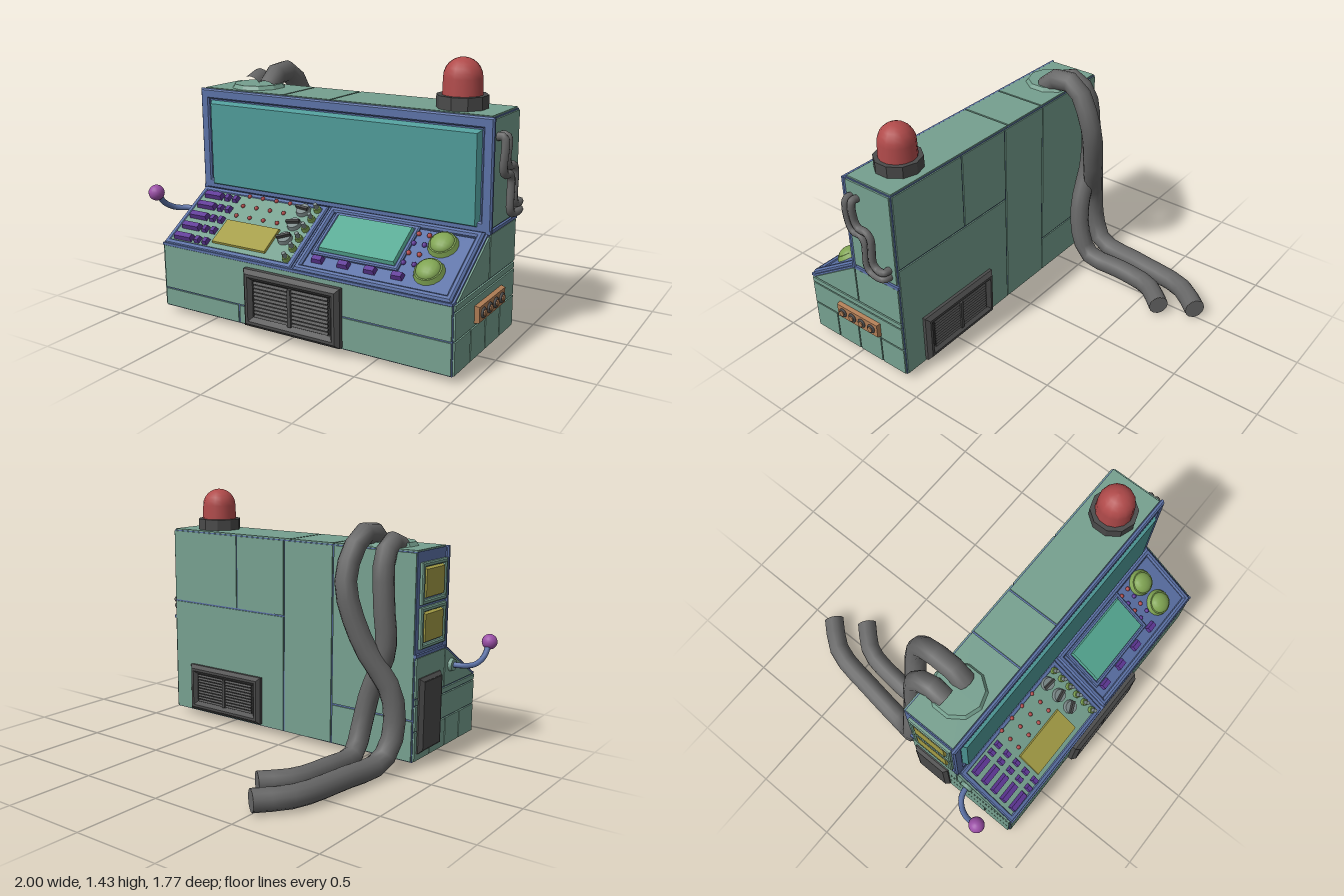
import * as THREE from 'three';

const C = { body: 0x76a08f, trim: 0x5b71a6, screen: 0x4f9a98, dark: 0x4a4a4a, black: 0x333333, hose: 0x666666,
  red: 0xb04a4a, purple: 0x9a4fa6, violet: 0x5e3796, yellow: 0xa39c45, orange: 0xb07d55, green: 0x7fa352, glow: 0x55a892, steel: 0x7d8a8a };
const mats = {};
const mat = (c, flat = false) => (mats[c + (flat ? 'f' : '')] ??= new THREE.MeshStandardMaterial({ color: C[c], flatShading: flat }));
const V = (x, y, z) => new THREE.Vector3(x, y, z);

function add(parent, name, geo, color, pos = [0, 0, 0], flat = false) {
  const m = new THREE.Mesh(geo, mat(color, flat));
  m.name = name;
  m.position.set(...pos);
  parent.add(m);
  return m;
}

// box given by its limits on each axis
function block(parent, name, color, [x0, x1], [y0, y1], [z0, z1]) {
  return add(parent, name, new THREE.BoxGeometry(x1 - x0, y1 - y0, z1 - z0), color, [(x0 + x1) / 2, (y0 + y1) / 2, (z0 + z1) / 2]);
}

// box whose front face is inset, giving chamfered sides
function taperBox(w, h, d, inset) {
  const g = new THREE.BoxGeometry(w, h, d), p = g.attributes.position;
  for (let i = 0; i < p.count; i++) {
    if (p.getZ(i) > 0) p.setXY(i, p.getX(i) - Math.sign(p.getX(i)) * inset, p.getY(i) - Math.sign(p.getY(i)) * inset);
  }
  g.computeVertexNormals();
  return g;
}

function rectPath(Type, w, h) {
  return new Type([[-w, -h], [w, -h], [w, h], [-w, h]].map(([x, y]) => new THREE.Vector2(x / 2, y / 2)));
}

// rectangular rim with chamfered edges, standing on z = 0
function rim(w, h, border, bevel, height) {
  const s = rectPath(THREE.Shape, w - 2 * bevel, h - 2 * bevel);
  s.holes.push(rectPath(THREE.Path, w - 2 * border + 2 * bevel, h - 2 * border + 2 * bevel));
  const g = new THREE.ExtrudeGeometry(s, { depth: height - bevel, bevelEnabled: true, bevelSize: bevel, bevelThickness: bevel, bevelSegments: 1 });
  return g;
}

// outline in (z, y) stretched from x0 to x1
function sideShape(parent, name, color, pts, x0, x1) {
  const s = new THREE.Shape(pts.map(p => new THREE.Vector2(...p)));
  const m = add(parent, name, new THREE.ExtrudeGeometry(s, { depth: x1 - x0, bevelEnabled: false }), color, [x1, 0, 0]);
  m.rotation.y = -Math.PI / 2;
  return m;
}

function tube(parent, name, color, pts, r, segs, sides) {
  const curve = new THREE.CatmullRomCurve3(pts.map(p => V(...p)));
  add(parent, name, new THREE.TubeGeometry(curve, segs, r, sides), color);
  const end = curve.getPointAt(1);
  const cap = add(parent, name + 'Cap', new THREE.CircleGeometry(r, sides), color, end.toArray());
  cap.lookAt(end.clone().add(curve.getTangentAt(1)));
}

// slatted vent facing +z
function vent(parent, name, w, h, border, depth, rows, pos, ry) {
  const g = new THREE.Group();
  g.name = name;
  g.position.set(...pos);
  g.rotation.y = ry;
  parent.add(g);
  add(g, 'ventFrame', rim(w, h, border, 0.02, depth), 'dark');
  const iw = w - 2 * border, ih = h - 2 * border;
  add(g, 'ventBack', new THREE.BoxGeometry(iw, ih, 0.01), 'black', [0, 0, 0.008]);
  add(g, 'ventDivider', new THREE.BoxGeometry(0.02, ih, depth), 'dark', [0, 0, depth / 2 - 0.004]);
  for (let i = 0; i < rows; i++) for (const s of [-1, 1]) {
    const slat = add(g, 'ventSlat', new THREE.BoxGeometry(iw / 2 - 0.02, ih / rows * 0.75, 0.006), 'dark', [s * iw / 4, (i + 0.5) * ih / rows - ih / 2, depth * 0.6]);
    slat.rotation.x = -0.5;
  }
}

function buildBody(g) {
  sideShape(g, 'core', 'trim', [[0.135, 0.03], [0.835, 0.03], [0.835, 0.385], [0.47, 0.615], [0.455, 0.615], [0.455, 1.175], [0.135, 1.175]], -0.805, 0.925);
  // front panels and lip
  const F = [0.82, 0.841];
  for (const [x, y] of [[[-0.8, -0.305], [0.035, 0.13]], [[-0.295, 0.04], [0.035, 0.13]], [[-0.8, 0.04], [0.137, 0.375]],
    [[0.04, 0.92], [0.205, 0.375]], [[0.04, 0.92], [0.035, 0.197]]]) block(g, 'frontPanel', 'body', x, y, F);
  block(g, 'frontLip', 'trim', [-0.805, 0.925], [0.378, 0.392], [0.8, 0.846]);
  // back panels
  for (const [x, y] of [[[0.42, 0.92], [0.735, 1.17]], [[0.065, 0.41], [0.735, 1.17]], [[0.065, 0.92], [0.035, 0.725]],
    [[-0.275, 0.055], [0.035, 1.17]], [[-0.8, -0.285], [0.035, 0.26]], [[-0.8, -0.285], [0.27, 1.17]]]) block(g, 'backPanel', 'body', x, y, [0.128, 0.15]);
  // top panels
  for (const x of [[-0.8, -0.28], [-0.27, 0.015], [0.025, 0.92]]) block(g, 'topPanel', 'body', x, [1.16, 1.183], [0.14, 0.445]);
  // side panels, the same on both sides below the screen
  for (const X of [[0.915, 0.934], [-0.815, -0.795]]) {
    [0.14, 0.315, 0.49, 0.66].forEach((z, i, a) => block(g, 'sideLowPanel', 'body', X, [0.035, 0.197], [z, (a[i + 1] ?? 0.838) - 0.008]));
    block(g, 'sideMidPanel', 'body', X, [0.205, 0.342], [0.14, 0.83]);
    block(g, 'sideStrip', 'body', X, [0.35, 0.378], [0.14, 0.83]);
    block(g, 'sideUpperPanel', 'body', X, [0.388, 0.608], [0.14, 0.452]);
    sideShape(g, 'sideWedge', 'body', [[0.46, 0.388], [0.81, 0.388], [0.475, 0.6], [0.46, 0.6]], ...X);
    block(g, 'sideTrim', 'trim', [X[0] - 0.003, X[1] + 0.003], [0.612, 0.63], [0.13, 0.47]);
  }
  block(g, 'screenSidePanel', 'body', [0.915, 0.934], [0.64, 1.168], [0.142, 0.448]);
  // screen with raised frame
  add(g, 'screenFrame', rim(1.76, 0.565, 0.055, 0.008, 0.02), 'trim', [0.06, 0.897, 0.45]);
  add(g, 'screen', taperBox(1.645, 0.495, 0.04, 0.022), 'screen', [0.06, 0.875, 0.463], true);
}

function buildConsole(root) {
  // slanted desk: x across, y up the slope, z out of it
  const g = new THREE.Group();
  g.name = 'console';
  g.position.set(0, 0.385, 0.835);
  g.rotation.x = -1.008;
  root.add(g);
  const knob = (name, color, x, y, r, h, sides = 10) => {
    const m = add(g, name, new THREE.CylinderGeometry(r * 0.85, r, h, sides), color, [x, y, h / 2]);
    m.rotation.x = Math.PI / 2;
    return m;
  };
  add(g, 'leftRim', rim(0.83, 0.43, 0.03, 0.006, 0.012), 'trim', [-0.388, 0.215, 0]);
  block(g, 'leftDesk', 'body', [-0.775, 0], [0.03, 0.405], [-0.01, 0.008]);
  add(g, 'rightRim', rim(0.87, 0.43, 0.035, 0.01, 0.022), 'trim', [0.48, 0.215, 0]);
  block(g, 'rightDesk', 'trim', [0.08, 0.88], [0.04, 0.39], [-0.01, 0.005]);
  // key bars and small keys
  for (let i = 0; i < 5; i++) {
    const y = 0.055 + i * 0.078;
    add(g, 'keyBar', taperBox(0.12, 0.042, 0.03, 0.006), 'violet', [-0.695, y, 0.02]);
    for (const x of [-0.6, -0.545]) add(g, 'smallKey', taperBox(0.035, 0.042, 0.026, 0.006), 'violet', [x, y, 0.018]);
  }
  // indicator lamps
  for (let i = 0; i < 4; i++) for (let j = 0; j < 3; j++)
    add(g, 'lamp', new THREE.SphereGeometry(0.012, 8, 6), 'red', [-0.475 + i * 0.09, 0.26 + j * 0.072, 0.012]);
  add(g, 'yellowDisplay', taperBox(0.35, 0.165, 0.016, 0.004), 'yellow', [-0.335, 0.14, 0.012]);
  // slotted dials
  [0.17, 0.27, 0.37].forEach((y, i) => {
    knob('dial', 'steel', -0.1, y, 0.042, 0.03, 14);
    const bar = add(g, 'dialGrip', new THREE.BoxGeometry(0.075, 0.014, 0.02), 'dark', [-0.1, y, 0.038]);
    bar.rotation.z = 0.5 - i * 0.3;
  });
  // toggle switches
  for (let i = 0; i < 6; i++) {
    knob('toggleBase', 'green', -0.02, 0.05 + i * 0.068, 0.022, 0.03, 8);
    knob('toggle', 'steel', -0.02, 0.05 + i * 0.068, 0.013, 0.06, 8);
  }
  // right monitor, keys and lamps
  add(g, 'monitorRim', rim(0.49, 0.285, 0.025, 0.006, 0.02), 'trim', [0.34, 0.255, 0]);
  add(g, 'monitor', taperBox(0.445, 0.245, 0.03, 0.01), 'glow', [0.34, 0.26, 0.015]);
  for (let i = 0; i < 4; i++) add(g, 'monitorKey', taperBox(0.065, 0.04, 0.03, 0.006), 'violet', [0.15 + i * 0.15, 0.085, 0.015]);
  for (let i = 0; i < 4; i++) for (const x of [0.592, 0.65])
    add(g, 'monitorLamp', new THREE.SphereGeometry(0.013, 8, 6), i % 2 ? 'red' : 'violet', [x, 0.17 + i * 0.062, 0.01]);
  // round gauges
  for (const y of [0.145, 0.315]) {
    knob('gaugeRim', 'green', 0.74, y, 0.08, 0.03, 18);
    add(g, 'gaugeDome', new THREE.SphereGeometry(0.062, 16, 10), 'green', [0.74, y, 0.025]).scale.z = 0.6;
  }
}

function buildFittings(g) {
  vent(g, 'frontVent', 0.58, 0.31, 0.055, 0.045, 10, [0.045, 0.197, 0.84], 0);
  vent(g, 'backVent', 0.56, 0.29, 0.055, 0.04, 10, [0.505, 0.19, 0.13], Math.PI);
  vent(g, 'sideVent', 0.23, 0.42, 0.035, 0.03, 14, [-0.813, 0.285, 0.28], -Math.PI / 2);
  // yellow side lights
  for (const y of [1.005, 0.765]) {
    const p = [-0.805, y, 0.3];
    add(g, 'sideLightRim', rim(0.27, 0.225, 0.025, 0.006, 0.02), 'body', p).rotation.y = -Math.PI / 2;
    add(g, 'sideLight', taperBox(0.225, 0.18, 0.04, 0.015), 'yellow', p).rotation.y = -Math.PI / 2;
  }
  // warning beacon
  add(g, 'beaconBase', new THREE.CylinderGeometry(0.13, 0.13, 0.068, 10), 'dark', [0.697, 1.214, 0.3], true);
  const dome = [[0.103, 1.24], [0.1, 1.33]];
  for (let i = 1; i <= 6; i++) dome.push([0.1 * Math.cos(i * Math.PI / 12), 1.33 + 0.1 * Math.sin(i * Math.PI / 12)]);
  add(g, 'beaconDome', new THREE.LatheGeometry(dome.map(([r, y]) => new THREE.Vector2(Math.max(r, 0), y)), 14), 'red', [0.697, 0, 0.3]);
  // hose flange and two floor hoses
  add(g, 'hoseFlange', new THREE.CylinderGeometry(0.135, 0.152, 0.025, 10), 'body', [-0.56, 1.192, 0.28], true);
  tube(g, 'longHose', 'hose', [[-0.5, 1.18, 0.27], [-0.5, 1.245, 0.2], [-0.5, 1.24, 0.06], [-0.49, 1.02, -0.06], [-0.58, 0.7, -0.03],
    [-0.72, 0.42, 0.05], [-0.74, 0.2, 0.04], [-0.72, 0.075, -0.04], [-0.68, 0.06, -0.35], [-0.62, 0.06, -0.68], [-0.49, 0.06, -0.848]], 0.06, 24, 12);
  tube(g, 'shortHose', 'hose', [[-0.63, 1.18, 0.25], [-0.63, 1.21, 0.17], [-0.64, 1.14, 0.08], [-0.66, 0.9, 0.05], [-0.67, 0.65, 0.06],
    [-0.58, 0.4, 0.055], [-0.55, 0.2, 0.02], [-0.55, 0.075, -0.05], [-0.54, 0.068, -0.3], [-0.5, 0.068, -0.52], [-0.38, 0.068, -0.665]], 0.058, 24, 12);
  // stepped pipes on the side
  for (const zy of [[[0.41, 1.08], [0.41, 0.93], [0.385, 0.895], [0.335, 0.89], [0.31, 0.86], [0.31, 0.71], [0.285, 0.68], [0.19, 0.68]],
    [[0.37, 1.08], [0.37, 0.965], [0.345, 0.93], [0.29, 0.925], [0.265, 0.895], [0.265, 0.75], [0.24, 0.72], [0.19, 0.72]]]) {
    const path = zy.map(([z, y]) => [0.968, y, z]);
    tube(g, 'sidePipe', 'hose', [[0.92, 1.08, zy[0][0]], ...path, [0.92, zy[7][1], 0.185]], 0.021, 48, 8);
  }
  // orange socket plate
  add(g, 'socketPlate', taperBox(0.325, 0.095, 0.04, 0.008), 'orange', [0.938, 0.262, 0.462]).rotation.y = Math.PI / 2;
  for (let i = 0; i < 4; i++) {
    const p = [0.96, 0.262, 0.352 + i * 0.0735];
    add(g, 'socketRing', new THREE.TorusGeometry(0.02, 0.008, 6, 14), 'dark', p).rotation.y = Math.PI / 2;
    add(g, 'socketPin', new THREE.CylinderGeometry(0.016, 0.016, 0.025, 12), 'orange', p).rotation.z = Math.PI / 2;
  }
  // side lever
  add(g, 'leverMount', new THREE.CylinderGeometry(0.035, 0.04, 0.03, 12), 'body', [-0.82, 0.5, 0.53]).rotation.z = Math.PI / 2;
  tube(g, 'leverArm', 'trim', [[-0.81, 0.5, 0.53], [-0.88, 0.5, 0.545], [-0.93, 0.505, 0.59], [-0.955, 0.54, 0.65], [-0.957, 0.61, 0.71]], 0.016, 16, 8);
  add(g, 'leverBall', new THREE.SphereGeometry(0.044, 18, 12), 'purple', [-0.957, 0.617, 0.715]);
}

export function createModel() {
  const root = new THREE.Group();
  root.name = 'controlConsole';
  for (const build of [buildBody, buildConsole, buildFittings]) build(root);
  return root;
}
